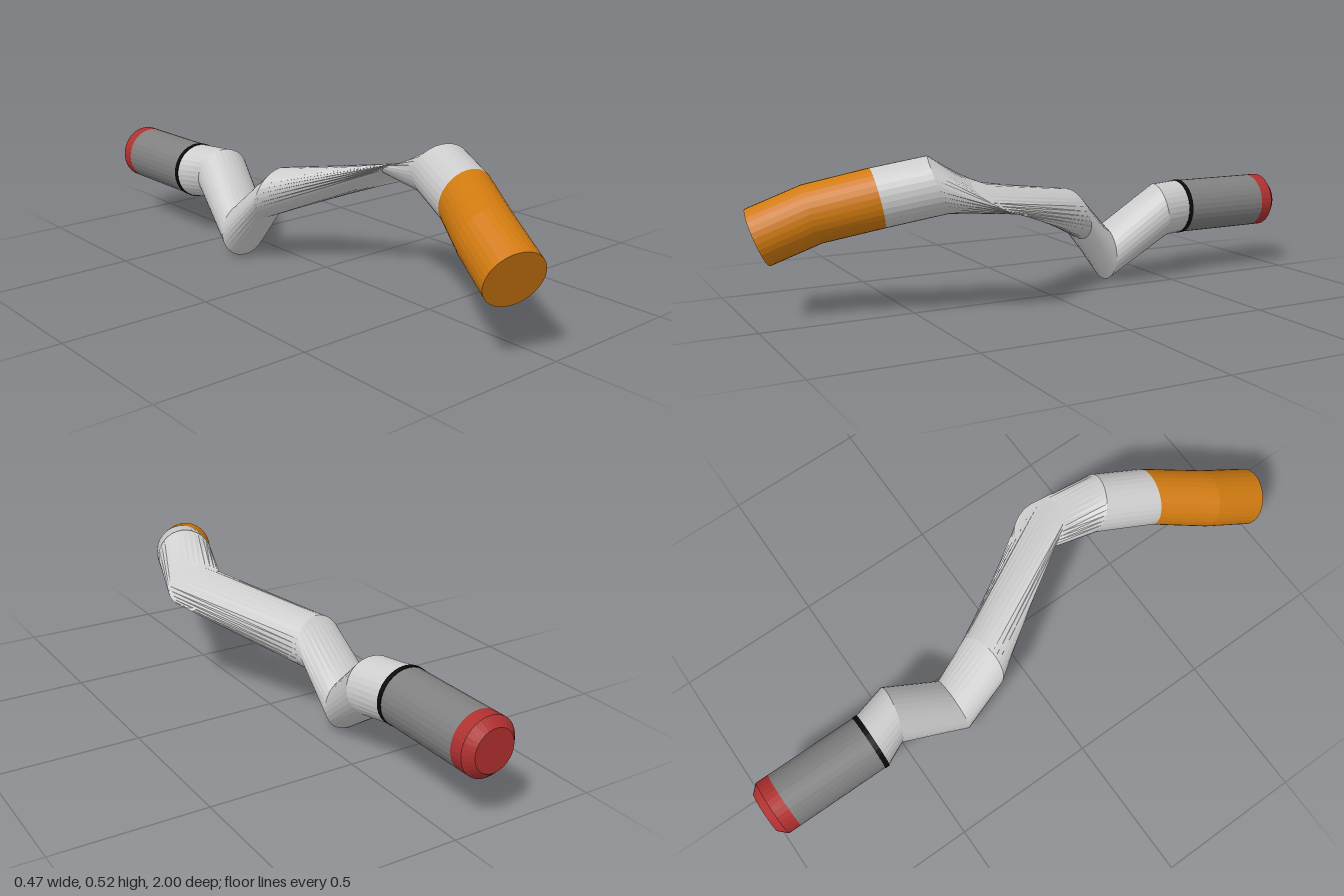
import * as THREE from 'three';

const SIDES = 32;
const R = 0.097;

// Tilted circular cross-sections along the body: centre, then the slopes dz/dx and dz/dy of the ring plane
const RINGS = [
  [-0.144, 0.266, 0.956, 0.33, 0.42],
  [-0.085, 0.336, 0.8, 0.3, 0.34],
  [0.018, 0.387, 0.622, 0.21, 0.23],
  [0.089, 0.426, 0.448, 0.4, 0.38],
  [0.143, 0.378, 0.265, 0.83, 2.25],
  [-0.107, 0.257, -0.147, -0.18, 0.3],
  [-0.134, 0.098, -0.289, 0, 0],
  [-0.082, 0.248, -0.494, 0.18, 0.19],
  [-0.118, 0.247, -0.592, 0, 0],
];

const material = (color) =>
  new THREE.MeshStandardMaterial({ color, flatShading: true, side: THREE.DoubleSide });

// Points of one ring, turned from facing +z to its own normal
function ringPoints([x, y, z, a, b]) {
  const normal = new THREE.Vector3(-a, -b, 1).normalize();
  const turn = new THREE.Quaternion().setFromUnitVectors(new THREE.Vector3(0, 0, 1), normal);
  const points = [];
  for (let i = 0; i < SIDES; i++) {
    const t = (i / SIDES) * Math.PI * 2;
    points.push(new THREE.Vector3(R * Math.cos(t), R * Math.sin(t), 0)
      .applyQuaternion(turn).add(new THREE.Vector3(x, y, z)));
  }
  return points;
}

// Skin joining consecutive rings, with an optional disc on the first one
function loft(rings, capFirst) {
  const positions = [];
  const index = [];
  rings.forEach((ring) => ringPoints(ring).forEach((p) => positions.push(p.x, p.y, p.z)));
  for (let r = 0; r < rings.length - 1; r++) {
    for (let i = 0; i < SIDES; i++) {
      const j = (i + 1) % SIDES;
      const a = r * SIDES + i, b = r * SIDES + j;
      index.push(a, a + SIDES, b, b, a + SIDES, b + SIDES);
    }
  }
  if (capFirst) {
    positions.push(...rings[0].slice(0, 3));
    const centre = rings.length * SIDES;
    for (let i = 0; i < SIDES; i++) index.push(centre, i, (i + 1) % SIDES);
  }
  const geometry = new THREE.BufferGeometry();
  geometry.setAttribute('position', new THREE.Float32BufferAttribute(positions, 3));
  geometry.setIndex(index);
  geometry.computeVertexNormals();
  return geometry;
}

// Straight piece along z, from the front end to the back end
function barrel(zFront, zBack, rFront, rBack, open) {
  const geometry = new THREE.CylinderGeometry(rFront, rBack, zFront - zBack, SIDES, 1, open);
  geometry.rotateX(Math.PI / 2);
  geometry.translate(-0.118, 0.247, (zFront + zBack) / 2);
  return geometry;
}

export function createModel() {
  const model = new THREE.Group();
  const add = (name, geometry, mat, parent = model) => {
    const mesh = new THREE.Mesh(geometry, mat);
    mesh.name = name;
    parent.add(mesh);
  };

  // Bent body: orange end and pale crumpled tube
  add('orangeEnd', loft(RINGS.slice(0, 3), true), material(0xd07a10));
  add('bentTube', loft(RINGS.slice(2), false), material(0xcccccc));

  // Straight tail: black band, grey sleeve
  add('blackBand', barrel(-0.59, -0.607, 0.099, 0.099, false), material(0x0a0a0a));
  add('greySleeve', barrel(-0.607, -0.928, R, R, true), material(0x808080));

  // Red tip with a chamfered end
  const tip = new THREE.Group();
  tip.name = 'redTip';
  const red = material(0xb03030);
  add('tipCollar', barrel(-0.928, -0.973, R, R, true), red, tip);
  add('tipChamfer', barrel(-0.973, -1, R, 0.07, false), red, tip);
  model.add(tip);

  return model;
}
